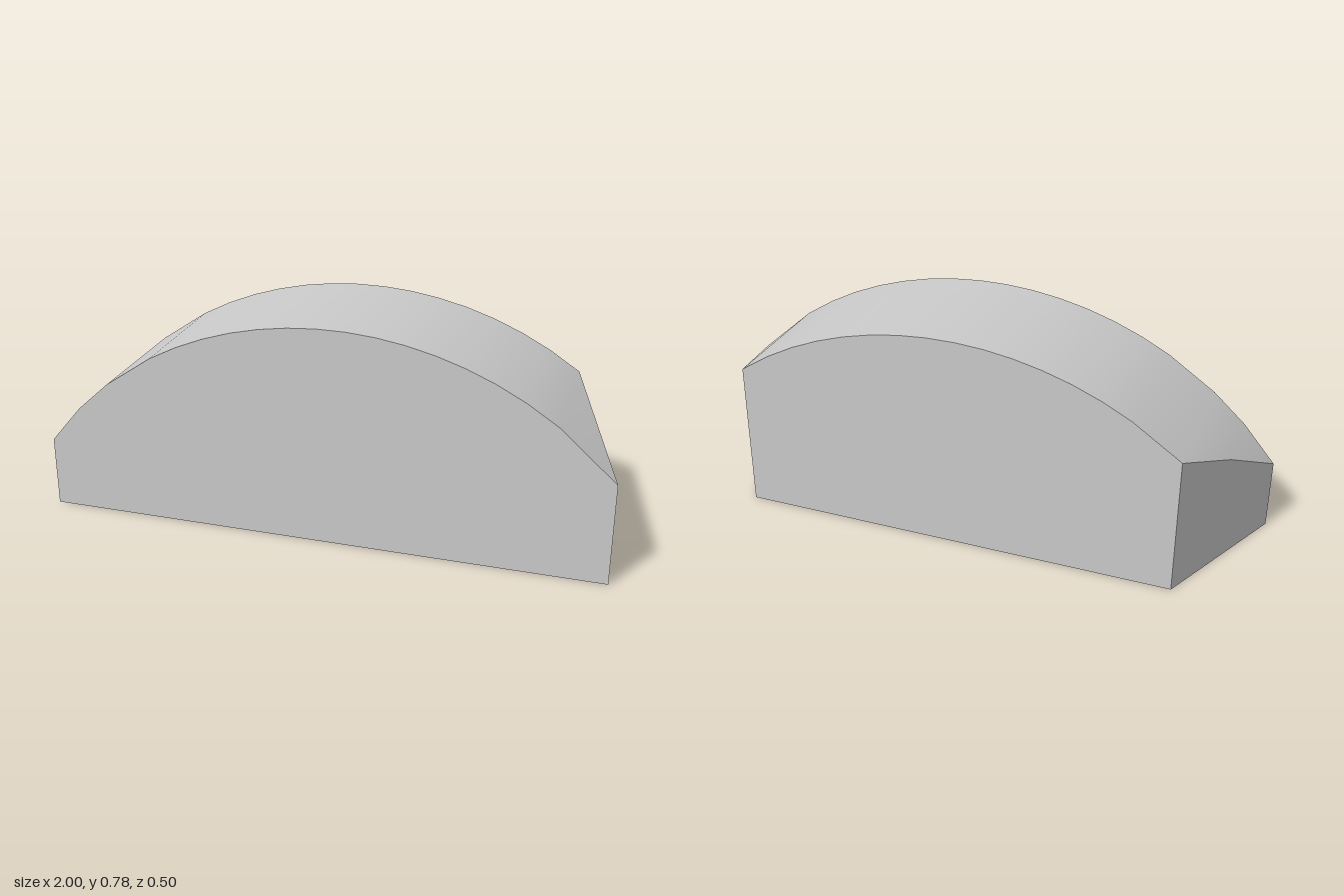
import * as THREE from 'three';
import { mergeGeometries } from 'three/addons/utils/BufferGeometryUtils.js';

const FRONT = 0.25, BACK = -0.25;      // depth limits
const LEFT = -0.77, RIGHT = 0.805;     // ends of the narrower back face

// Height of the circular arch
const archHeight = (x) => Math.sqrt(1.297 ** 2 - (x - 0.045) ** 2) - 0.514;

// Rear limit at each x: flat in the middle, slanting forward to the tips
function rearZ(x) {
  const t = x < LEFT ? (LEFT - x) / (LEFT + 1) : Math.max(0, (x - RIGHT) / (1 - RIGHT));
  return BACK + (FRONT - BACK) * t;
}

// Strip of quads between two edges that run along +x
function strip(edgeA, edgeB, smooth) {
  const positions = [], index = [];
  edgeA.forEach((a, i) => {
    positions.push(...a, ...edgeB[i]);
    if (i === 0) return;
    const k = 2 * (i - 1);
    index.push(k, k + 1, k + 2, k + 1, k + 3, k + 2);
  });
  const geo = new THREE.BufferGeometry();
  geo.setAttribute('position', new THREE.Float32BufferAttribute(positions, 3));
  geo.setIndex(index);
  if (smooth) geo.computeVertexNormals();
  const flat = geo.toNonIndexed();
  if (!smooth) flat.computeVertexNormals();
  return flat;
}

export function createModel() {
  const group = new THREE.Group();
  group.name = 'archedBlock';

  // Stations along the width
  const xs = [-1, -0.885, LEFT];
  for (let i = -6; i <= 6; i++) xs.push(i / 10);
  xs.push(0.7, RIGHT, 1);

  // The four long edges of the block
  const topBack = xs.map((x) => [x, archHeight(x), rearZ(x)]);
  const topFront = xs.map((x) => [x, archHeight(x), FRONT]);
  const bottomBack = xs.map((x) => [x, 0, rearZ(x)]);
  const bottomFront = xs.map((x) => [x, 0, FRONT]);

  const geometry = mergeGeometries([
    strip(topBack, topFront, true),        // curved top
    strip(topFront, bottomFront, false),   // front face
    strip(bottomBack, topBack, false),     // back face and slanted ends
    strip(bottomFront, bottomBack, false), // underside
  ]);
  const body = new THREE.Mesh(geometry, new THREE.MeshStandardMaterial({ color: 0xcccccc }));
  body.name = 'body';
  group.add(body);
  return group;
}
